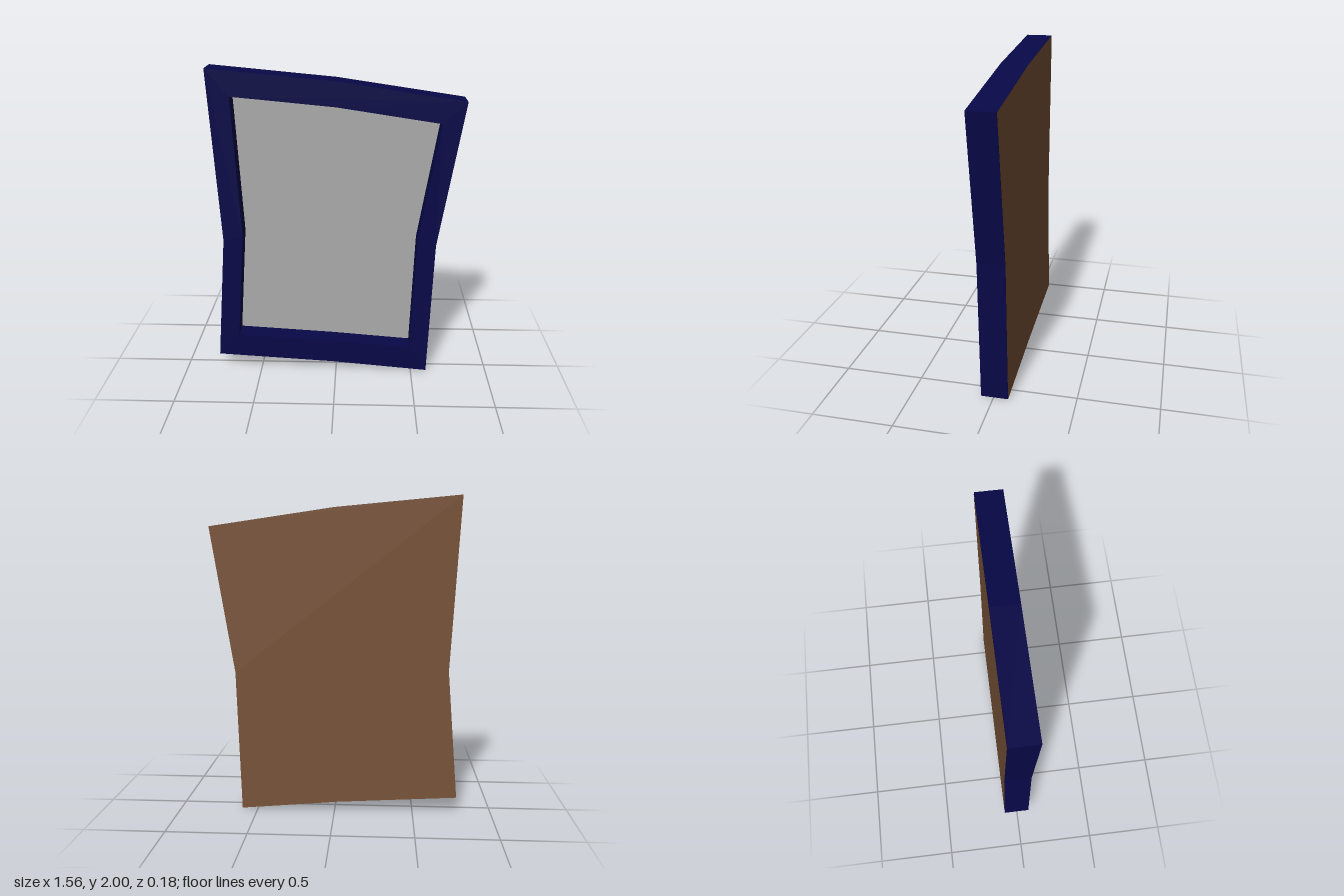
import * as THREE from 'three';

const toShape = (pts, Type = THREE.Shape) => new Type(pts.map(([x, y]) => new THREE.Vector2(x, y)));

// Crooked outer and inner outlines, eight points each, counter-clockwise
const OUTER = [[-0.772, 2], [-0.713, 0.92], [-0.78, 0.1], [-0.02, 0.055], [0.602, 0], [0.63, 0.9], [0.777, 1.813], [0, 1.928]];
const INNER = [[-0.632, 1.835], [-0.59, 0.95], [-0.643, 0.247], [-0.02, 0.21], [0.488, 0.17], [0.512, 0.92], [0.634, 1.68], [0, 1.776]];
const HALF = 0.084;

export function createModel() {
  const group = new THREE.Group();

  // Adds a part, leaning it very slightly forward towards the top
  function add(name, geometry, color, z, side = THREE.FrontSide) {
    geometry.translate(0, 0, z);
    const p = geometry.attributes.position;
    for (let i = 0; i < p.count; i++) p.setZ(i, p.getZ(i) + 0.005 * (p.getY(i) - 1));
    geometry.computeVertexNormals();
    const mesh = new THREE.Mesh(geometry, new THREE.MeshStandardMaterial({ color, side }));
    mesh.name = name;
    group.add(mesh);
  }

  // Border
  const border = toShape(OUTER);
  border.holes.push(toShape(INNER, THREE.Path));
  add('frame', new THREE.ExtrudeGeometry(border, { depth: 2 * HALF, bevelEnabled: false }), 0x080848, -HALF);

  // Recessed pane
  add('pane', new THREE.ShapeGeometry(toShape(INNER)), 0xacacac, -0.04, THREE.DoubleSide);

  // Backing board covering the whole rear
  add('backBoard', new THREE.ShapeGeometry(toShape(OUTER)), 0x785338, -HALF - 0.002, THREE.DoubleSide);

  return group;
}
